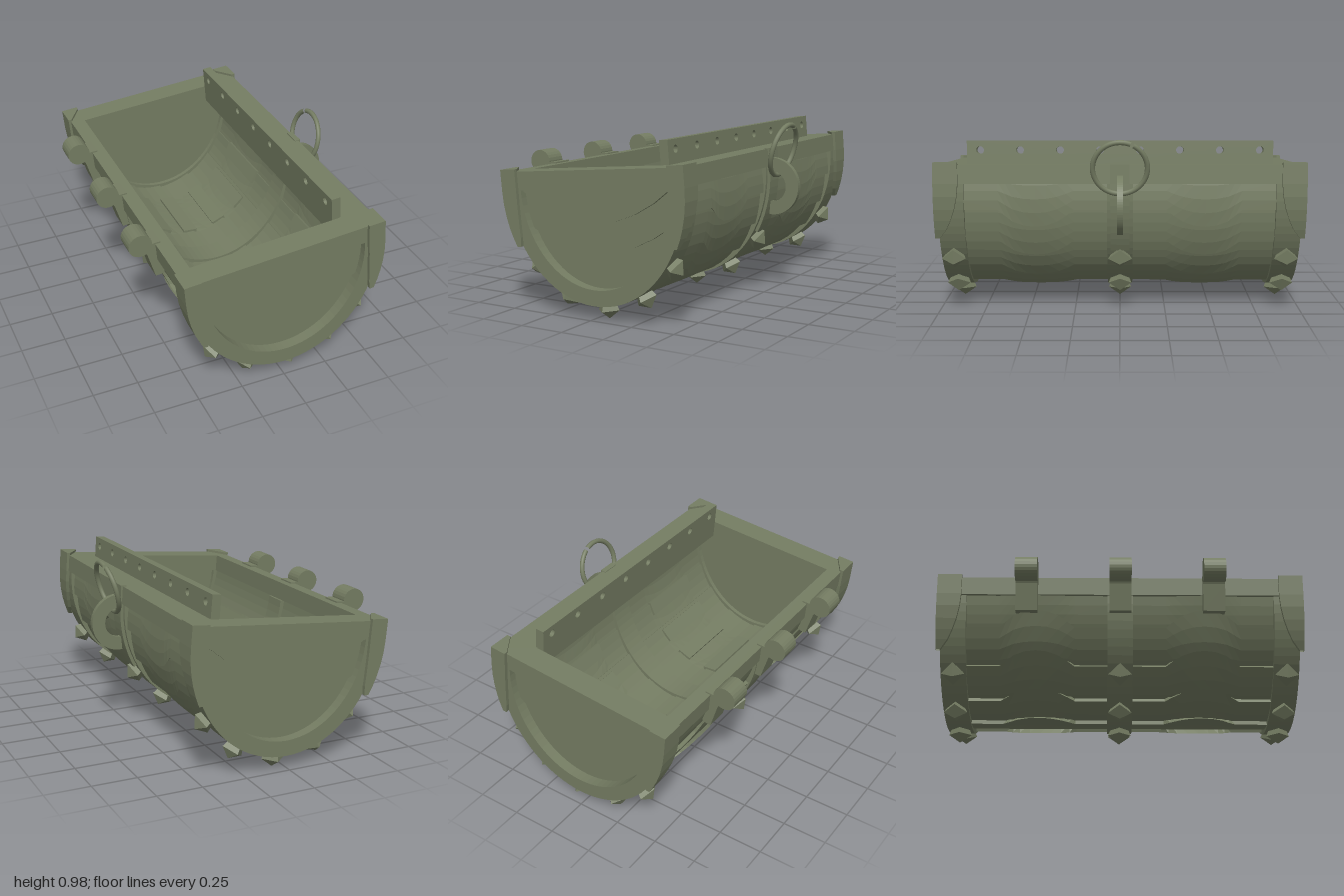
import * as THREE from 'three';

const D = Math.PI / 180;
const flat = new THREE.MeshStandardMaterial({ color: 0x747c62, flatShading: true, side: THREE.DoubleSide });
const smooth = new THREE.MeshStandardMaterial({ color: 0x747c62 });

// Half-ellipse of the hull: t = 0 at the +x rim, 90 at the bottom, 180 at the -x rim
const A = 0.54, B = 0.61, CY = -0.1;
const hull = (t, off = 0) => new THREE.Vector2((A + off) * Math.cos(t * D), CY - (B + off) * Math.sin(t * D));
const arc = (t0, t1, n, off) => Array.from({ length: n + 1 }, (_, i) => hull(t0 + (t1 - t0) * i / n, off));
const pts = (list) => list.map(([x, y]) => new THREE.Vector2(x, y));

// Prism along z from a list of points or a shape
function extrude(outline, z0, z1) {
  const shape = Array.isArray(outline) ? new THREE.Shape(outline) : outline;
  const g = new THREE.ExtrudeGeometry(shape, { depth: z1 - z0, bevelEnabled: false, curveSegments: 20 });
  return g.translate(0, 0, z0);
}

// Skin between closed loops of points
function loft(rings) {
  const n = rings[0].length, index = [];
  for (let i = 0; i < rings.length - 1; i++) for (let j = 0; j < n; j++) {
    const a = i * n + j, b = i * n + (j + 1) % n;
    index.push(a, b, b + n, a, b + n, a + n);
  }
  const g = new THREE.BufferGeometry();
  g.setAttribute('position', new THREE.Float32BufferAttribute(rings.flat(2), 3));
  g.setIndex(index);
  g.computeVertexNormals();
  return g;
}

export function createModel() {
  const model = new THREE.Group();
  const body = new THREE.Group();
  body.name = 'chestLid';
  body.position.set(-0.01, 0.79, 0);
  body.rotation.z = 5 * D;
  model.add(body);
  const add = (name, geo, mat = flat) => {
    const m = new THREE.Mesh(geo, mat);
    m.name = name;
    body.add(m);
    return m;
  };

  // Rim frame around the opening
  const rim = new THREE.Shape(pts([[-0.55, -0.98], [0.55, -0.98], [0.55, 0.98], [-0.55, 0.98]]));
  rim.holes.push(new THREE.Path(pts([[-0.47, -0.84], [-0.47, 0.84], [0.38, 0.84], [0.38, -0.84]])));
  add('rim', extrude(rim, 0, 0.1).rotateX(Math.PI / 2));

  // Curved bands at both ends and the middle
  for (const [z0, z1] of [[-0.98, -0.84], [-0.07, 0.07], [0.84, 0.98]])
    add('band', extrude([...arc(0, 180, 40, 0), ...arc(180, 0, 40, -0.085)], z0, z1));

  // Overlapping planks with a wavy lower edge
  const seams = [-3, 13.7, 31.7, 50, 73, 98, 120, 142, 163, 180];
  const wave = [[0.07, 0], [0.25, 0], [0.29, 0.35], [0.34, 0.7], [0.4, 0.93], [0.46, 1],
    [0.52, 0.93], [0.58, 0.7], [0.62, 0.35], [0.66, 0], [0.85, 0]];
  for (let k = 0; k < seams.length - 1; k++) {
    const last = k === seams.length - 2;
    const rings = wave.map(([z, dip]) => {
      const t0 = seams[k] - 3, t1 = seams[k + 1] + (last ? 0 : dip * 9);
      const outer = [], inner = [];
      for (let i = 0; i <= 4; i++) {
        const f = i / 4, t = t0 + (t1 - t0) * f;
        const o = -0.034 + 0.024 * f + dip * 0.01 * f;
        const p = hull(t, o), q = hull(Math.min(t, seams[k + 1]), -0.072 + 0.012 * f);
        outer.push([p.x, p.y, z]);
        inner.unshift([q.x, q.y, z]);
      }
      return [...outer, ...inner].reverse();
    });
    const geo = loft(rings);
    add('plank', geo);
    add('plank', geo).scale.z = -1;
  }

  // Cleats across the seams on the inside
  for (const t of [32, 54, 74, 98, 119, 154]) for (const s of [-1, 1]) {
    const p = hull(t, -0.072);
    const m = add('cleat', new THREE.BoxGeometry(0.025, 0.085, 0.4));
    m.position.set(p.x, p.y, s * 0.46);
    m.rotation.z = Math.atan2(-Math.sin(t * D) / B, Math.cos(t * D) / A);
  }

  // End panels: three stepped boards with sagging lower edges
  const sag = (u, v, dip) => Array.from({ length: 9 }, (_, i) => {
    const f = 1 - i / 4;
    return new THREE.Vector2(u * f, v - dip * (1 - f * f));
  });
  const mid = [...arc(158, 180, 4, -0.075), ...arc(0, 22, 4, -0.075)];
  const e = hull(22, -0.075);
  for (const s of [-1, 1]) {
    add('endPanelLower', extrude(arc(0, 180, 32, -0.075), 0.865, 0.92)).scale.z = s;
    add('endPanelMiddle', extrude([...mid, ...sag(e.x, e.y, 0.135)], 0.9, 0.94)).scale.z = s;
    add('endPanelUpper', extrude(sag(0.47, -0.1, 0.18), 0.9, 0.958)).scale.z = s;
  }

  // Pierced strip standing inside the +x rim
  const strip = new THREE.Shape(pts([[-0.838, -0.1], [0.838, -0.1], [0.838, 0.126], [-0.838, 0.126]]));
  for (let i = 0; i < 8; i++) {
    const hole = new THREE.Path();
    hole.absarc(-0.765 + i * 0.2186, 0.075, 0.021, 0, Math.PI * 2, true);
    strip.holes.push(hole);
  }
  add('piercedStrip', extrude(strip, 0, 0.05).rotateY(-Math.PI / 2).translate(0.39, 0, 0));

  // Tapering corner brackets with a triangular cap
  const stations = [[0.012, 1], [-0.1, 1], [-0.17, 0.94], [-0.24, 0.8], [-0.3, 0.6], [-0.35, 0.38], [-0.4, 0.02]];
  const bracket = loft(stations.map(([v, f]) => {
    const U = 0.565 * Math.sqrt(1 - (Math.min(0, v - CY) / 0.625) ** 2);
    const lu = 0.022 + 0.073 * f, lz = 0.022 + 0.11 * f, w = 0.02;
    return [[U, v, 1 - lz], [U, v, 1], [U - lu, v, 1], [U - lu, v, 1 - w], [U - w, v, 1 - w], [U - w, v, 1 - lz]];
  }));
  const cap = extrude(pts([[0.565, -1], [0.565, -0.868], [0.545, -0.868], [0.47, -0.98], [0.47, -1]]), 0, 0.014)
    .rotateX(-Math.PI / 2);
  for (const sx of [-1, 1]) for (const sz of [-1, 1]) {
    add('cornerBracket', bracket).scale.set(sx, 1, sz);
    add('cornerCap', cap).scale.set(sx, 1, sz);
  }

  // Pyramid studs on the bands
  const stud = new THREE.LatheGeometry(pts([[0.045, -0.02], [0.065, 0.03], [0, 0.075]]), 4);
  for (const t of [41, 65, 90, 115, 139]) for (const z of [-0.91, 0, 0.91]) {
    const p = hull(t);
    const m = add('stud', stud);
    m.position.set(p.x, p.y, z);
    m.rotation.z = Math.atan2(-Math.sin(t * D) / B, Math.cos(t * D) / A) - Math.PI / 2;
  }

  // Hinges on the -x side
  const leaf = pts([[-0.63, 0.01], [-0.6, -0.055], [-0.57, -0.2], [-0.52, -0.2], [-0.52, 0.008]]);
  for (const z of [-0.51, 0, 0.51]) {
    add('hingeLeaf', extrude(leaf, z - 0.06, z + 0.06));
    add('hingeBarrel', new THREE.CylinderGeometry(0.065, 0.065, 0.12, 24).rotateX(Math.PI / 2))
      .position.set(-0.631, 0.015, z);
  }

  // Clasp on the +x side: plate, fixed loop and hanging ring
  add('claspPlate', extrude([new THREE.Vector2(0.53, 0.004), new THREE.Vector2(0.562, 0.004),
    ...arc(0, 36, 10, 0.018), ...arc(36, 0, 10, -0.02)], -0.052, 0.052));
  const loop = new THREE.Shape();
  loop.absarc(0, 0, 0.16, -100 * D, 100 * D, false);
  loop.absarc(0, 0, 0.085, 100 * D, -100 * D, true);
  add('claspLoop', extrude(loop, -0.015, 0.015)).position.set(0.543, -0.213, 0);
  const ring = add('claspRing', new THREE.TorusGeometry(0.145, 0.014, 10, 48, Math.PI * 2 - 0.12)
    .rotateZ(68 * D).rotateY(Math.PI / 2), smooth);
  ring.position.set(0.621, -0.014, 0);
  ring.rotation.z = -19 * D;

  return model;
}
